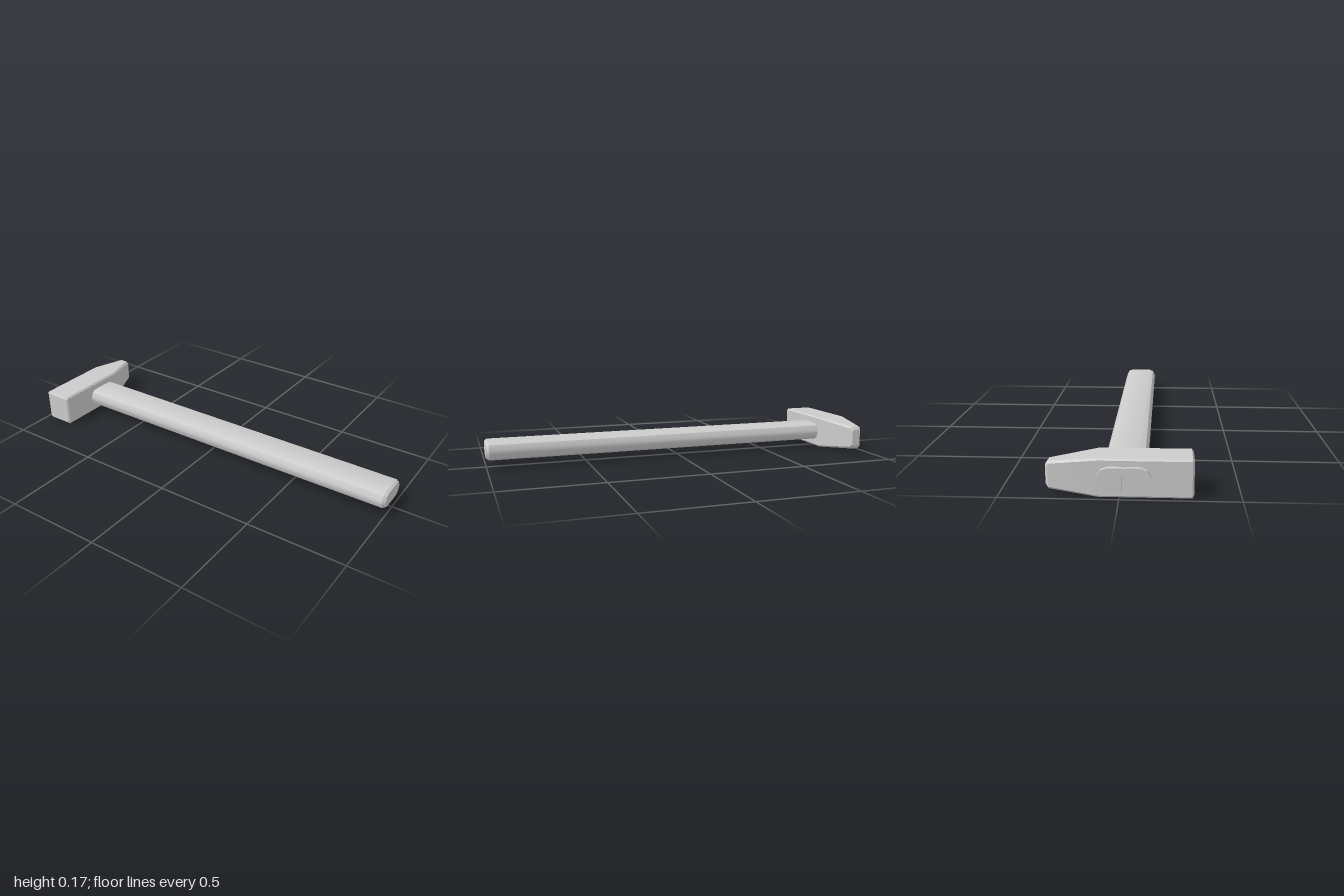
import * as THREE from 'three';
import { toCreasedNormals } from 'three/addons/utils/BufferGeometryUtils.js';

const material = new THREE.MeshStandardMaterial({ color: 0xcccccc });
const CY = 0.084, CZ = 0.02; // centre line of the handle

// Capped skin over convex rings, each counter-clockwise seen from the far end
function loft(name, rings, crease = 0.5) {
  const n = rings[0].length, index = [];
  for (let r = 0; r < rings.length - 1; r++) {
    for (let j = 0; j < n; j++) {
      const a = r * n + j, b = r * n + (j + 1) % n;
      index.push(a, b, b + n, a, b + n, a + n);
    }
  }
  const last = (rings.length - 1) * n;
  for (let j = 1; j < n - 1; j++) {
    index.push(0, j + 1, j, last, last + j, last + j + 1);
  }
  const geometry = new THREE.BufferGeometry();
  geometry.setAttribute('position', new THREE.Float32BufferAttribute(rings.flat(2), 3));
  geometry.setIndex(index);
  const mesh = new THREE.Mesh(toCreasedNormals(geometry, crease), material);
  mesh.name = name;
  return mesh;
}

// Rectangle with chamfered corners at depth z
function headRing(z, x0, x1, y0, y1, c) {
  return [
    [x0 + c, y0, z], [x1 - c, y0, z], [x1, y0 + c, z], [x1, y1 - c, z],
    [x1 - c, y1, z], [x0 + c, y1, z], [x0, y1 - c, z], [x0, y0 + c, z],
  ];
}

// Half of the handle's section as [y, z]; the other half is it turned by 180 degrees
const halfSection = [
  [0.045, 0.057], [0.035, 0.08], [0.009, 0.0925],
  [-0.009, 0.0925], [-0.035, 0.08], [-0.045, 0.057],
];
const turned = (points) => points.map(([y, z]) => [-y, -z]);
const place = (points, x, sy = 1, sz = 1) =>
  points.map(([y, z]) => [x, CY + y * sy, CZ + z * sz]);

export function createModel() {
  const group = new THREE.Group();
  group.name = 'hammer';

  // Head: narrow peen at the back, square striking face at the front
  group.add(loft('head', [
    headRing(-0.305, -0.948, -0.904, 0.04, 0.128, 0.008),
    headRing(-0.293, -0.957, -0.895, 0.024, 0.144, 0.01),
    headRing(-0.088, -0.98, -0.825, 0, 0.167, 0.008),
    headRing(0.297, -0.98, -0.825, 0, 0.167, 0.008),
    headRing(0.305, -0.972, -0.833, 0.01, 0.157, 0.008),
  ]));

  // Handle with a bevelled end
  const section = [...halfSection, ...turned(halfSection)];
  group.add(loft('handle', [
    place(section, -0.9),
    place(section, 0.986),
    place(section, 1, 0.82, 0.9),
  ]));

  // Flared handle end, split in two by the wedge
  const half = [...halfSection, [-0.045, 0.008], [0.045, 0.008]];
  for (const [name, points] of [['frontHandleStub', half], ['backHandleStub', turned(half)]]) {
    group.add(loft(name, [place(points, -1, 1.12, 1.2), place(points, -0.93, 1.12, 1.2)]));
  }

  // Wedge sitting in the split
  const wedge = new THREE.Mesh(new THREE.BoxGeometry(0.06, 0.094, 0.022), material);
  wedge.position.set(-0.964, CY, CZ);
  wedge.name = 'wedge';
  group.add(wedge);

  return group;
}
